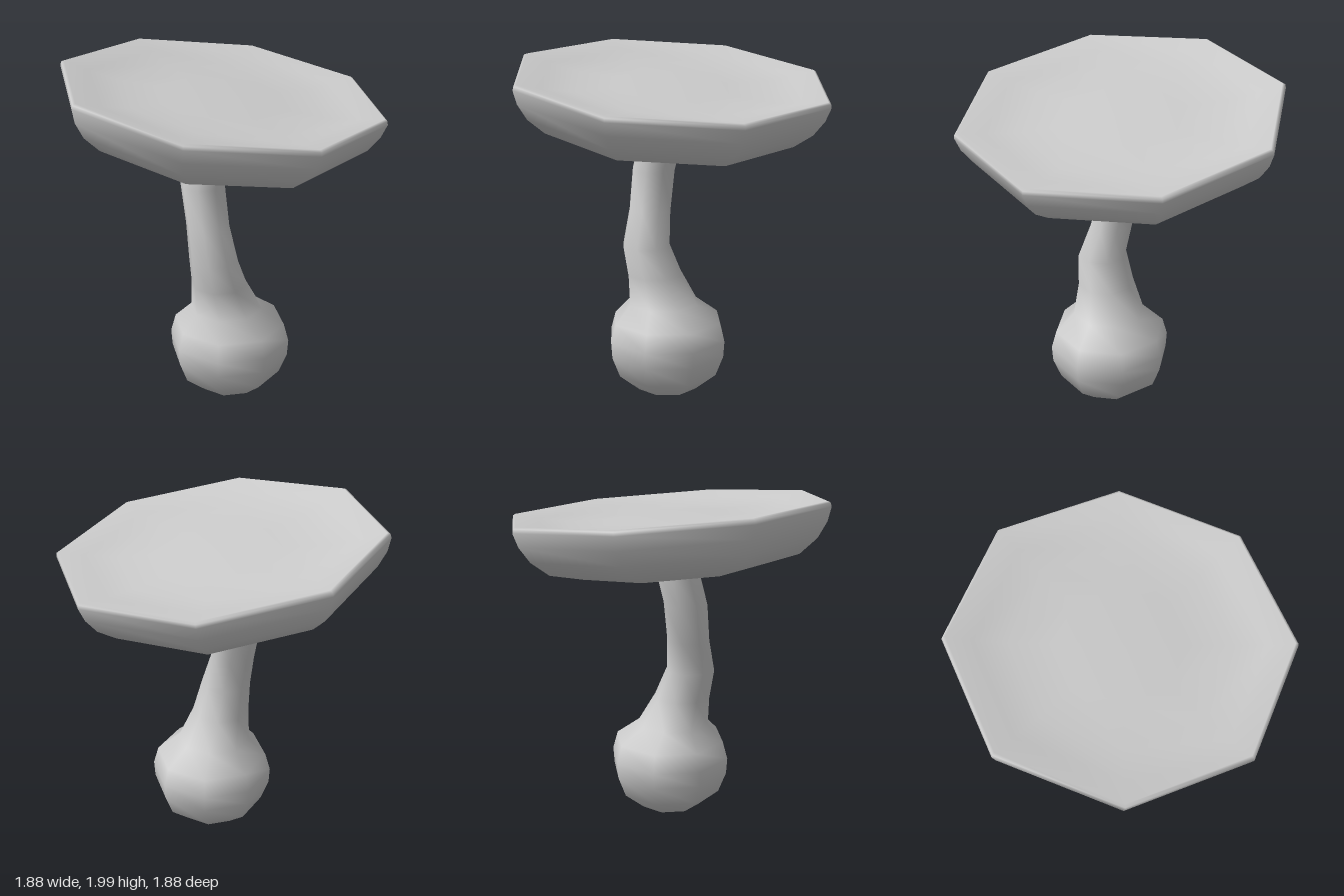
import * as THREE from 'three';
import { mergeVertices } from 'three/addons/utils/BufferGeometryUtils.js';

const SIDES = 8;
const material = new THREE.MeshStandardMaterial({ color: 0xcccccc });

// Eight-sided smooth lathe from rows of [radius, y, centreX, centreZ]
function bentLathe(rows) {
  const lathe = new THREE.LatheGeometry(rows.map(([r, y]) => new THREE.Vector2(r, y)), SIDES);
  const pos = lathe.attributes.position;
  for (let i = 0; i < pos.count; i++) {
    const [, , cx = 0, cz = 0] = rows[i % rows.length];
    pos.setX(i, pos.getX(i) + cx);
    pos.setZ(i, pos.getZ(i) + cz);
  }
  lathe.deleteAttribute('normal');
  lathe.deleteAttribute('uv');
  const geometry = mergeVertices(lathe, 1e-4);
  geometry.computeVertexNormals();
  return geometry;
}

export function createModel() {
  const group = new THREE.Group();
  group.name = 'mushroom';

  // Round bulb running up into a thin, bent stem
  const stem = new THREE.Mesh(bentLathe([
    [0, 0.005, 0, 0.08],
    [0.18, 0.05, 0, 0.08],
    [0.303, 0.15, 0, 0.08],
    [0.35, 0.27, 0, 0.08],
    [0.357, 0.365, 0, 0.08],
    [0.328, 0.47, 0, 0.08],
    [0.212, 0.57, -0.022, 0.082],
    [0.166, 0.74, -0.075, 0.085],
    [0.144, 0.91, -0.123, 0.095],
    [0.127, 1.11, -0.123, 0.035],
    [0.13, 1.34, -0.12, -0.02],
    [0.13, 1.53, -0.07, -0.015],
    [0.13, 1.62, -0.06, -0.015],
  ]), material);
  stem.name = 'stemAndBulb';
  group.add(stem);

  // Wide tilted cap with a shallow dish on top
  const cap = new THREE.Mesh(bentLathe([
    [0, -0.345],
    [0.33, -0.365],
    [0.55, -0.335],
    [0.75, -0.285],
    [0.855, -0.2],
    [0.915, -0.11],
    [0.942, -0.03],
    [0.938, -0.008],
    [0.922, 0.001],
    [0.78, -0.03],
    [0.6, -0.055],
    [0.35, -0.05],
    [0, -0.035],
  ]), material);
  cap.name = 'cap';
  cap.position.set(0, 1.885, 0);
  cap.quaternion.setFromUnitVectors(
    new THREE.Vector3(0, 1, 0),
    new THREE.Vector3(0.096, 1, 0.075).normalize(),
  );
  cap.rotateY(-0.015);
  group.add(cap);

  return group;
}
